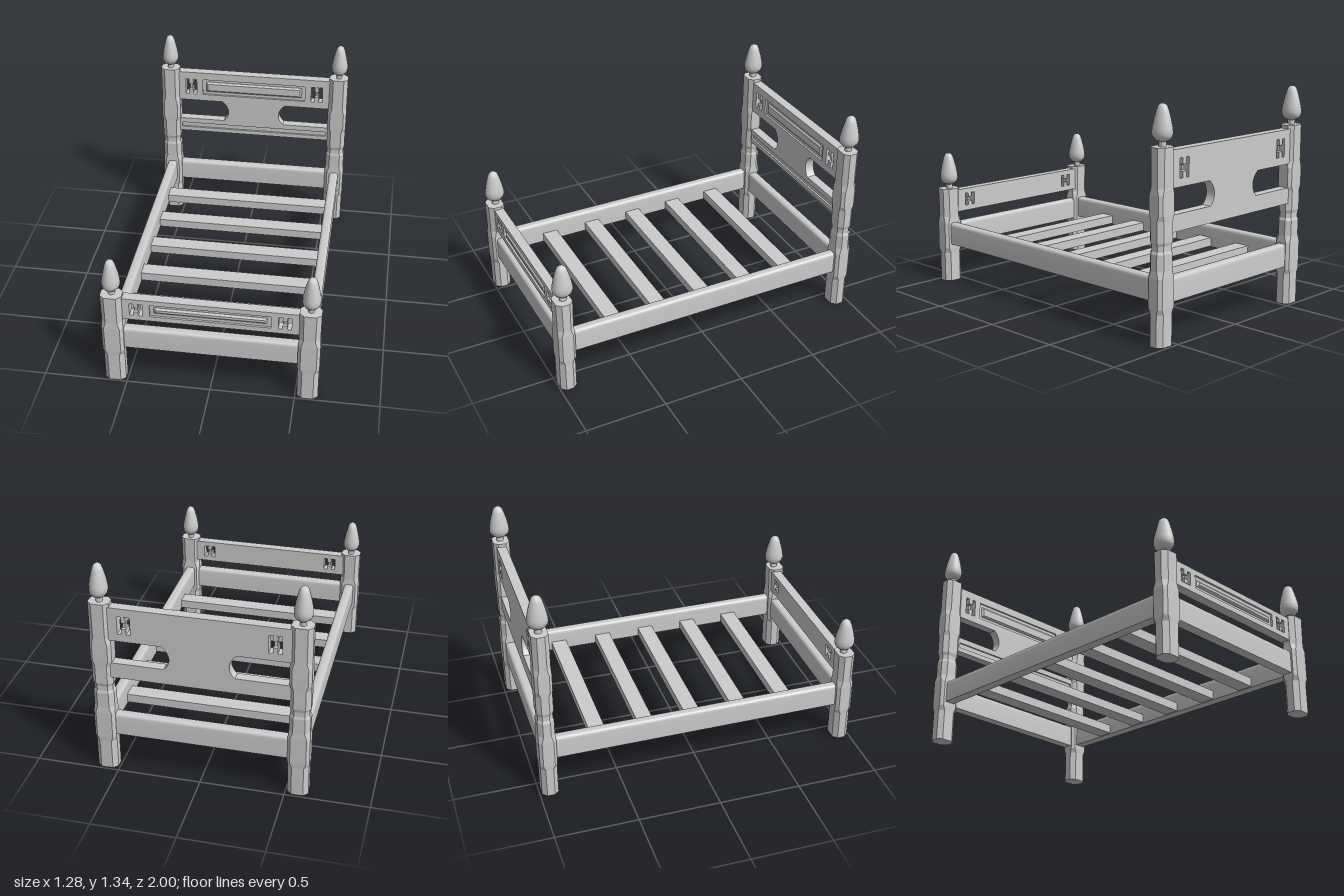
import * as THREE from 'three';
import { toCreasedNormals } from 'three/addons/utils/BufferGeometryUtils.js';

const wood = new THREE.MeshStandardMaterial({ color: 0xcccccc });
const flatWood = new THREE.MeshStandardMaterial({ color: 0xcccccc, flatShading: true });

const POST_X = 0.573;

function add(parent, name, geometry, x = 0, y = 0, z = 0, material = wood) {
  const mesh = new THREE.Mesh(geometry, material);
  mesh.name = name;
  mesh.position.set(x, y, z);
  parent.add(mesh);
  return mesh;
}

// Chamfered rectangular post lofted through sections [y, scale, chamfer]
function postGeometry(sections) {
  const pos = [], index = [];
  for (const [y, s, c] of sections) {
    const w = 0.064 * s, d = 0.052 * s, a = w - c, b = d - c;
    const ring = [[w, -b], [w, b], [a, d], [-a, d], [-w, b], [-w, -b], [-a, -d], [a, -d]];
    for (const [x, z] of ring) pos.push(x, y, z);
  }
  const last = (sections.length - 1) * 8;
  for (let i = 0; i < last; i += 8) {
    for (let j = 0; j < 8; j++) {
      const k = (j + 1) % 8;
      index.push(i + j, i + 8 + j, i + k, i + k, i + 8 + j, i + 8 + k);
    }
  }
  for (let j = 1; j < 7; j++) index.push(0, j, j + 1, last, last + j + 1, last + j);
  const g = new THREE.BufferGeometry();
  g.setAttribute('position', new THREE.Float32BufferAttribute(pos, 3));
  g.setIndex(index);
  g.computeVertexNormals();
  return g;
}

// Acorn-like finial on a short neck, slightly deeper than wide
function finialGeometry() {
  const profile = [[0, -0.01], [0.019, -0.01], [0.019, 0.028], [0.034, 0.035], [0.049, 0.055], [0.053, 0.075],
    [0.051, 0.1], [0.043, 0.145], [0.031, 0.195], [0.023, 0.219], [0.012, 0.23], [0, 0.233]]
    .map(([r, y]) => new THREE.Vector2(r, y));
  const g = new THREE.LatheGeometry(profile, 16);
  g.scale(1.02, 1, 1.18);
  return toCreasedNormals(g, 0.6);
}

function rect(Type, x0, x1, y0, y1) {
  return new Type([[x0, y0], [x1, y0], [x1, y1], [x0, y1]].map(([x, y]) => new THREE.Vector2(x, y)));
}

// Board in two layers: the front layer carries the recesses, both have the windows
function buildBoard(name, outline, panelY, panelHalf, grooves) {
  const board = new THREE.Group();
  board.name = name;
  const layer = (label, depth, z, recessed) => {
    const shape = outline();
    for (const s of [-1, 1]) {
      shape.holes.push(rect(THREE.Path, s * 0.43 - 0.038, s * 0.43 + 0.038, panelY - panelHalf, panelY + panelHalf));
    }
    if (recessed) {
      shape.holes.push(rect(THREE.Path, -0.35, 0.35, panelY - panelHalf, panelY + panelHalf));
      for (const [y0, y1] of grooves) shape.holes.push(rect(THREE.Path, -0.5, 0.5, y0, y1));
    }
    add(board, label, new THREE.ExtrudeGeometry(shape, { depth, bevelEnabled: false, curveSegments: 10 }), 0, 0, z);
  };
  layer('boardBack', 0.048, -0.03, false);
  layer('boardFront', 0.012, 0.018, true);

  // Raised field with bevelled edges inside the recess
  const h = panelHalf - 0.02;
  const field = new THREE.ExtrudeGeometry(rect(THREE.Shape, -0.315, 0.315, -h + 0.012, h - 0.012),
    { depth: 0.001, bevelThickness: 0.01, bevelSize: 0.012, bevelSegments: 1 });
  add(board, 'raisedPanel', field, 0, panelY, 0.018);

  // Little spindles standing in the windows, leaving an H-shaped opening
  const H = panelHalf;
  const spindle = [[0.014, -H], [0.014, -H * 0.35], [0.008, -H * 0.25], [0.008, H * 0.25], [0.014, H * 0.35], [0.014, H]]
    .map(([r, y]) => new THREE.Vector2(r, y));
  for (const s of [-1, 1]) {
    const g = new THREE.LatheGeometry(spindle, 4);
    g.rotateY(Math.PI / 4).scale(Math.SQRT2, 1, Math.SQRT2 * 2.2);
    add(board, 'spindle', g, s * 0.43, panelY, 0, flatWood);
  }
  return board;
}

// Headboard outline with curved openings beside the posts
function headboardOutline() {
  const s = new THREE.Shape();
  s.moveTo(-0.53, 0.633);
  s.lineTo(0.53, 0.633);
  s.lineTo(0.53, 0.73);
  s.lineTo(0.205, 0.73);
  s.bezierCurveTo(0.16, 0.77, 0.16, 0.83, 0.215, 0.877);
  s.lineTo(0.53, 0.877);
  s.lineTo(0.53, 1.087);
  s.lineTo(-0.53, 1.087);
  s.lineTo(-0.53, 0.877);
  s.lineTo(-0.215, 0.877);
  s.bezierCurveTo(-0.16, 0.83, -0.16, 0.77, -0.205, 0.73);
  s.lineTo(-0.53, 0.73);
  s.closePath();
  return s;
}

// Rail along z with eased top edges
function railGeometry(length) {
  const w = 0.031, s = new THREE.Shape();
  s.moveTo(-w, 0);
  s.lineTo(w, 0);
  s.lineTo(w, 0.115);
  s.quadraticCurveTo(w, 0.14, w - 0.018, 0.14);
  s.lineTo(-w + 0.018, 0.14);
  s.quadraticCurveTo(-w, 0.14, -w, 0.115);
  s.closePath();
  const g = new THREE.ExtrudeGeometry(s, { depth: length, bevelEnabled: false, curveSegments: 4 });
  g.translate(0, 0, -length / 2);
  return toCreasedNormals(g, 0.6);
}

export function createModel() {
  const bed = new THREE.Group();
  bed.name = 'bed';

  // Posts and finials
  const foot = [[0, 0.97, 0.027], [0.19, 0.97, 0.027], [0.22, 1.01, 0.018], [0.39, 1.01, 0.018], [0.43, 0.96, 0.027]];
  const frontPost = postGeometry([...foot, [0.613, 0.99, 0.027]]);
  const rearPost = postGeometry([...foot, [0.525, 0.96, 0.027], [0.54, 0.86, 0.024], [0.57, 0.86, 0.024],
    [0.59, 0.97, 0.027], [0.71, 0.97, 0.027], [0.74, 0.99, 0.018], [0.85, 0.99, 0.018], [0.89, 0.97, 0.027],
    [1.108, 0.97, 0.027]]);
  const finial = finialGeometry();
  for (const s of [-1, 1]) {
    add(bed, 'frontPost', frontPost, s * POST_X, 0, 0.944, flatWood);
    add(bed, 'rearPost', rearPost, s * POST_X, 0, -0.936, flatWood);
    add(bed, 'frontFinial', finial, s * POST_X, 0.612, 0.937);
    add(bed, 'rearFinial', finial, s * POST_X, 1.108, -0.937);
  }

  // Headboard and footboard
  const head = buildBoard('headboard', headboardOutline, 0.98, 0.056, [[0.662, 0.695]]);
  head.position.z = -0.94;
  const footboard = buildBoard('footboard', () => rect(THREE.Shape, -0.53, 0.53, 0.452, 0.597), 0.525, 0.04, []);
  footboard.position.z = 0.936;
  bed.add(head, footboard);

  // Side rails and end rails
  const sideRail = railGeometry(1.82);
  const endRail = railGeometry(1.06);
  for (const s of [-1, 1]) {
    add(bed, 'sideRail', sideRail, s * POST_X, 0.248, 0);
    add(bed, 'endRail', endRail, 0, 0.24, s * 0.937).rotation.y = Math.PI / 2;
  }

  // Slats
  for (let i = 0; i < 5; i++) {
    add(bed, 'slat', new THREE.BoxGeometry(1.1, 0.055, 0.098), 0, 0.281, -0.607 + i * 0.3);
  }
  return bed;
}
